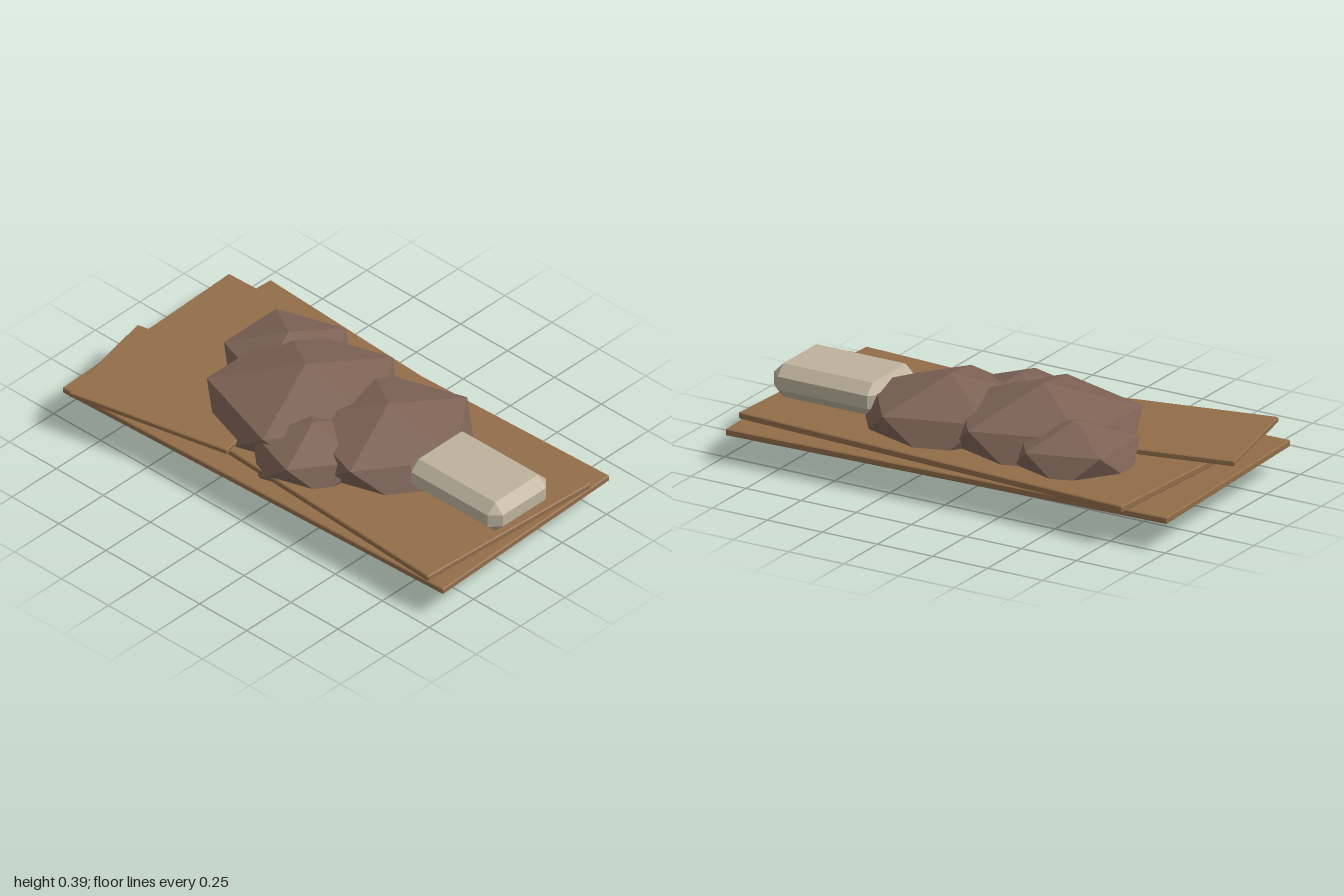
import * as THREE from 'three';
import { ConvexGeometry } from 'three/addons/geometries/ConvexGeometry.js';

const material = (name, color) => {
  const m = new THREE.MeshStandardMaterial({ color, flatShading: true });
  m.name = name;
  return m;
};

// Box with every edge cut at 45 degrees
function chamferBox(w, h, d, b) {
  const points = [];
  for (const sx of [-1, 1]) for (const sy of [-1, 1]) for (const sz of [-1, 1]) {
    const x = sx * w / 2, y = sy * h / 2, z = sz * d / 2;
    points.push(
      new THREE.Vector3(x, y - sy * b, z - sz * b),
      new THREE.Vector3(x - sx * b, y, z - sz * b),
      new THREE.Vector3(x - sx * b, y - sy * b, z));
  }
  return new ConvexGeometry(points);
}

// Squashed icosahedron standing on a pole: two apexes and two staggered rings of five
function lumpGeometry(ring, height) {
  const points = [new THREE.Vector3(0, height, 0), new THREE.Vector3(0, -height, 0)];
  for (let i = 0; i < 10; i++) {
    const a = i * Math.PI / 5;
    const y = (i % 2 ? -1 : 1) * height * 0.447;
    points.push(new THREE.Vector3(ring * Math.cos(a), y, ring * Math.sin(a)));
  }
  return new ConvexGeometry(points);
}

export function createModel() {
  const group = new THREE.Group();
  group.name = 'makeshiftBed';
  const cardboard = material('cardboard', 0x926d49);
  const blanket = material('blanket brown', 0x7d6255);
  const linen = material('pillow linen', 0xbdb29c);

  const add = (name, geometry, mat, x, y, z, turn = 0) => {
    const mesh = new THREE.Mesh(geometry, mat);
    mesh.name = name;
    mesh.position.set(x, y, z);
    mesh.rotation.y = turn;
    group.add(mesh);
  };

  // Overlapping cardboard sheets
  add('bottomSheet', chamferBox(1.963, 0.027, 0.976, 0.004), cardboard, 0, 0.132, -0.033, 0.035);
  add('middleSheet', chamferBox(1.803, 0.027, 0.87, 0.004), cardboard, 0.05, 0.162, -0.055, -0.055);
  add('topSheet', chamferBox(0.716, 0.023, 0.512, 0.004), cardboard, -0.575, 0.191, 0.225, 0.21);

  // Crumpled blanket: x, z, ring radius, half height
  const lumps = [
    [-0.16, -0.03, 0.385, 0.193],
    [0.23, -0.085, 0.347, 0.174],
    [-0.4, -0.188, 0.252, 0.138],
    [0.06, 0.16, 0.24, 0.132],
  ];
  lumps.forEach(([x, z, ring, height], i) =>
    add(`blanketLump${i + 1}`, lumpGeometry(ring, height), blanket, x, 0.198, z));

  // Pillow
  add('pillow', chamferBox(0.49, 0.138, 0.328, 0.042), linen, 0.711, 0.245, -0.084);
  return group;
}
